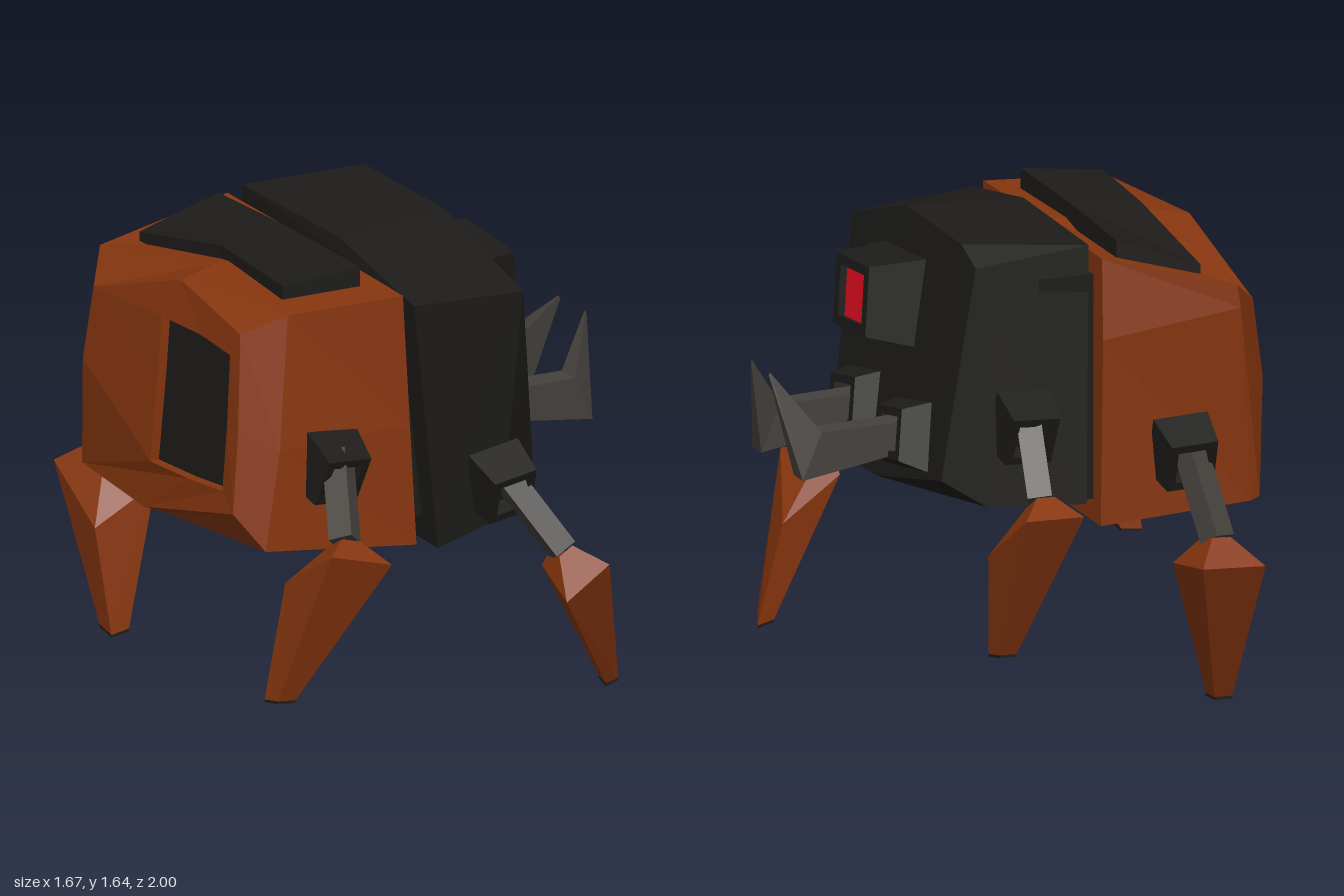
import * as THREE from 'three';
import { ConvexGeometry } from 'three/addons/geometries/ConvexGeometry.js';

const material = (color) => new THREE.MeshStandardMaterial({ color, flatShading: true });
const orange = material(0x87360f);
const dark = material(0x1d1c1a);
const steel = material(0x45413d);
const red = material(0xec0f20);
const V = (p) => new THREE.Vector3(...p);

function add(parent, name, geometry, mat) {
  const mesh = new THREE.Mesh(geometry, mat);
  mesh.name = name;
  parent.add(mesh);
  return mesh;
}

// Joins rings of equal corner count, caps both ends, and turns all faces outward
function loft(rings) {
  const n = rings[0].length;
  const tris = [];
  for (let r = 0; r < rings.length - 1; r++) {
    for (let i = 0; i < n; i++) {
      const j = (i + 1) % n;
      const [a, b, c, d] = [rings[r][i], rings[r][j], rings[r + 1][j], rings[r + 1][i]];
      tris.push([a, b, c], [a, c, d]);
    }
  }
  const first = rings[0], last = rings[rings.length - 1];
  for (let i = 1; i < n - 1; i++) {
    tris.push([first[0], first[i + 1], first[i]], [last[0], last[i], last[i + 1]]);
  }
  let volume = 0;
  for (const [a, b, c] of tris) volume += V(a).dot(V(b).cross(V(c)));
  const pos = tris.flatMap(([a, b, c]) => (volume < 0 ? [...a, ...c, ...b] : [...a, ...b, ...c]));
  const geometry = new THREE.BufferGeometry();
  geometry.setAttribute('position', new THREE.Float32BufferAttribute(pos, 3));
  geometry.computeVertexNormals();
  return geometry;
}

const rect = (w, h, z) => [[w / 2, h / 2, z], [-w / 2, h / 2, z], [-w / 2, -h / 2, z], [w / 2, -h / 2, z]];

// Tapered box with a hollow in its +z end
function socket(parent, name, { pos, rot, twist = 0, w, h, d, taper = 0.85, hole = 0.68, depth = 0.06 }) {
  const tw = w * taper, th = h * taper;
  const mesh = add(parent, name, loft([
    rect(w, h, 0), rect(tw, th, d), rect(tw * hole, th * hole, d), rect(tw * hole, th * hole, d - depth),
  ]), dark);
  mesh.position.set(...pos);
  mesh.rotation.set(...rot, 'ZYX');
  mesh.rotateZ(twist);
  return mesh;
}

// Square bar between two points
function strut(parent, name, from, to, radius) {
  const a = V(from), b = V(to), dir = b.clone().sub(a);
  const geometry = new THREE.CylinderGeometry(radius, radius, dir.length(), 4).rotateY(Math.PI / 4);
  const mesh = add(parent, name, geometry, steel);
  mesh.position.copy(a).add(b).multiplyScalar(0.5);
  mesh.quaternion.setFromUnitVectors(new THREE.Vector3(0, 1, 0), dir.normalize());
}

// Leg: hip socket tilted down, bar and a four-sided shell that narrows to the foot
function leg(name, { base, hip, neck, knee, foot, roll }) {
  const group = new THREE.Group();
  group.name = name;
  socket(group, 'hipSocket', {
    pos: base, rot: [0.38, hip[2] > 0 ? 0 : Math.PI, roll], w: 0.2, h: 0.22, d: 0.15,
  });
  strut(group, 'legBar', hip, neck, 0.06);
  const centre = knee.reduce((s, p) => s.add(V(p)), new THREE.Vector3()).multiplyScalar(0.25);
  const ringAt = (c, k) => knee.map((p) => V(p).sub(centre).multiplyScalar(k).add(V(c)).toArray());
  const footTop = ringAt(foot, 0.29).map((p) => [p[0], foot[1] + 0.015 + (p[1] - foot[1]) * 0.3, p[2]]);
  const footEnd = footTop.map((p) => [p[0], p[1] - 0.01, p[2]]);
  add(group, 'legShell', loft([ringAt(neck, 0.3), knee, footTop]), orange);
  add(group, 'footTip', loft([footTop, footEnd]), dark);
  return group;
}

export function createModel() {
  const model = new THREE.Group();

  // Rear hull with a hollow window in its back (-x) face
  const window = [
    [-0.77, 1.40, 0.37], [-0.765, 1.41, 0.17], [-0.77, 1.40, -0.07], [-0.785, 1.2, -0.07],
    [-0.81, 0.87, -0.08], [-0.815, 0.89, 0.17], [-0.82, 0.92, 0.40], [-0.795, 1.15, 0.39],
  ];
  const inset = (d) => window.map(([x, y, z]) => [x + d, y, z]);
  add(model, 'rearHull', loft([
    [[-0.2, 1.57, 0.58], [-0.2, 1.58, 0], [-0.2, 1.58, -0.55], [-0.19, 1.3, -0.585],
      [-0.18, 0.64, -0.59], [-0.17, 0.65, 0], [-0.17, 0.66, 0.62], [-0.19, 1.1, 0.6]],
    [[-0.63, 1.565, 0.52], [-0.6, 1.58, 0], [-0.67, 1.46, -0.625], [-0.68, 1.38, -0.63],
      [-0.73, 0.68, -0.6], [-0.75, 0.67, -0.08], [-0.77, 0.75, 0.6], [-0.7, 1.1, 0.58]],
    [[-0.76, 1.49, 0.42], [-0.735, 1.55, 0], [-0.775, 1.37, -0.5], [-0.8, 1.1, -0.53],
      [-0.765, 0.69, -0.59], [-0.81, 0.69, -0.12], [-0.84, 0.87, 0.5], [-0.8, 1.15, 0.47]],
    window, inset(0.045),
  ]), orange);
  add(model, 'rearWindow', loft([inset(0.06), inset(0.035)]), dark);

  // Bent plate on the rear hull
  add(model, 'topPlate', loft([
    [-0.53, -0.57, -0.28, 1.52, 1.62, -0.48], [-0.05, -0.54, -0.28, 1.62, 1.64, -0.05],
    [0.39, -0.57, -0.28, 1.62, 1.645, 0.43],
  ].map(([zl, xl, xr, yl, yr, zr]) => [[xl, yl, zl], [xr, yr, zr], [xr, yr - 0.09, zr], [xl, yl - 0.09, zl]])), dark);

  // Joint between the two hulls
  const joint = add(model, 'hullJoint', new THREE.BoxGeometry(0.2, 0.8, 1.04), dark);
  joint.position.set(-0.08, 1.12, 0);

  // Front hull
  add(model, 'frontHull', new ConvexGeometry([
    [-0.18, 1.54, 0.62], [-0.17, 1.63, 0.12], [-0.17, 1.62, -0.5],
    [0.27, 1.50, 0.61], [0.26, 1.645, 0.12], [0.26, 1.64, -0.4], [0.25, 1.58, -0.51],
    [-0.07, 0.62, 0.6], [0.2, 0.67, 0.58], [0.42, 0.72, 0.44],
    [-0.08, 0.64, 0], [0.42, 0.73, 0],
    [-0.12, 0.73, -0.61], [0.24, 0.75, -0.59], [0.37, 0.83, -0.49],
  ].map(V)), dark);

  // Eye on the +x face
  const eye = socket(model, 'eyeHousing', {
    pos: [0.27, 1.345, 0.06], rot: [0, Math.PI / 2, 0.09], twist: 0.08,
    w: 0.4, h: 0.32, d: 0.22, taper: 0.76, hole: 0.72, depth: 0.04,
  });
  const lens = add(eye, 'eyeLens', new THREE.BoxGeometry(0.17, 0.175, 0.02), red);
  lens.position.z = 0.195;

  // Mandibles: a bar out along +x, then a hook rising to a point
  for (const [side, z, tipZ] of [['right', 0.205, 0.12], ['left', -0.19, -0.05]]) {
    socket(model, side + 'MandibleSocket', {
      pos: [0.31, 0.92, z + Math.sign(z) * 0.025], rot: [0, Math.PI / 2, 0.14], twist: 0.17,
      w: 0.34, h: 0.28, d: 0.15, taper: 0.64,
    });
    const bar = (xt, yt, xb, yb, cz, w) => [[xt, yt, cz - w], [xt, yt, cz + w], [xb, yb, cz + w], [xb, yb, cz - w]];
    add(model, side + 'Mandible', loft([
      bar(0.37, 0.985, 0.37, 0.88, z, 0.05), bar(0.71, 0.97, 0.78, 0.805, z, 0.043),
      bar(0.83, 1.15, 0.835, 1.14, tipZ, 0.004),
    ]), steel);
  }

  // Four legs, each in its own stride
  model.add(leg('rearRightLeg', {
    base: [-0.5, 1.035, 0.54], hip: [-0.49, 1.06, 0.62], neck: [-0.6, 0.83, 0.84], foot: [-0.785, 0.235, 0.72], roll: -0.1,
    knee: [[-0.73, 0.84, 0.96], [-0.51, 0.78, 1.0], [-0.51, 0.71, 0.76], [-0.76, 0.67, 0.71]],
  }));
  model.add(leg('frontRightLeg', {
    base: [0.16, 0.85, 0.57], hip: [0.17, 0.86, 0.64], neck: [0.31, 0.6, 0.8], foot: [0.555, 0.035, 0.71], roll: 0.12,
    knee: [[0.22, 0.48, 0.97], [0.40, 0.58, 0.96], [0.50, 0.39, 0.68], [0.27, 0.53, 0.73]],
  }));
  model.add(leg('frontLeftLeg', {
    base: [0.1, 1.045, -0.53], hip: [0.1, 1.06, -0.62], neck: [0.14, 0.82, -0.84], foot: [0.22, 0.235, -0.69], roll: 0.05,
    knee: [[0.04, 0.8, -1.0], [0.25, 0.8, -0.99], [0.27, 0.6, -0.68], [0.06, 0.6, -0.71]],
  }));
  model.add(leg('rearLeftLeg', {
    base: [-0.47, 0.91, -0.57], hip: [-0.48, 0.92, -0.65], neck: [-0.52, 0.62, -0.82], foot: [-0.585, 0.005, -0.67], roll: -0.05,
    knee: [[-0.64, 0.55, -0.97], [-0.41, 0.56, -0.97], [-0.41, 0.51, -0.68], [-0.65, 0.39, -0.69]],
  }));
  return model;
}
